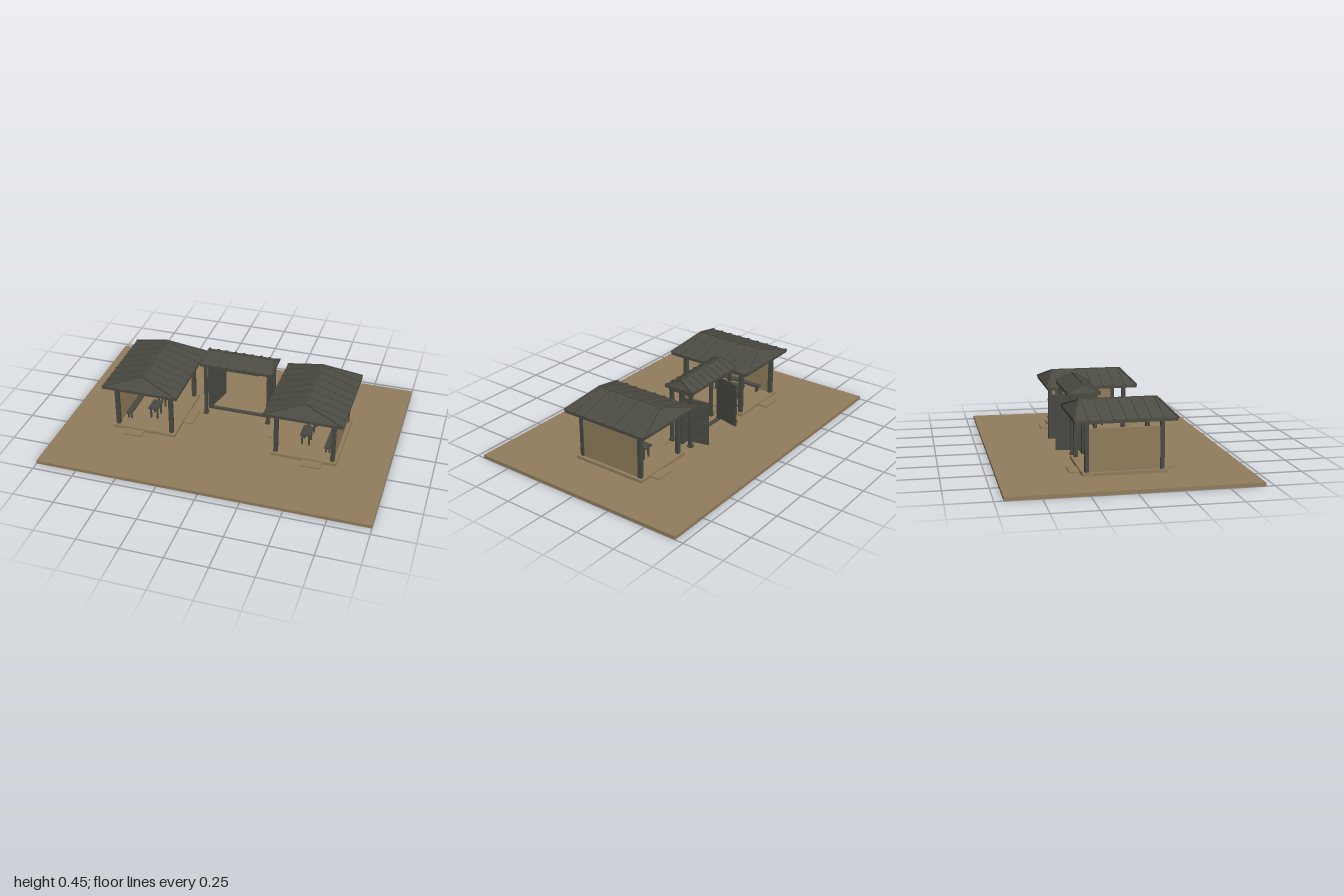
import * as THREE from 'three';

const earth = new THREE.MeshStandardMaterial({ color: 0x927d5c });
earth.name = 'earth tan';
const timber = new THREE.MeshStandardMaterial({ color: 0x494a42 });
timber.name = 'dark timber';
const roofing = new THREE.MeshStandardMaterial({ color: 0x4c4c44, flatShading: true });
roofing.name = 'grey roofing';

// Box given by its minimum and maximum corners
function box(parent, name, mat, x0, x1, y0, y1, z0, z1) {
  const mesh = new THREE.Mesh(new THREE.BoxGeometry(Math.abs(x1 - x0), y1 - y0, Math.abs(z1 - z0)), mat);
  mesh.position.set((x0 + x1) / 2, (y0 + y1) / 2, (z0 + z1) / 2);
  mesh.name = name;
  parent.add(mesh);
  return mesh;
}

// Square bar running between two points
function bar(parent, name, mat, a, b, w, h) {
  const from = new THREE.Vector3(...a), to = new THREE.Vector3(...b);
  const mesh = new THREE.Mesh(new THREE.BoxGeometry(w, h, from.distanceTo(to)), mat);
  mesh.position.copy(from).add(to).multiplyScalar(0.5);
  mesh.lookAt(to);
  mesh.name = name;
  parent.add(mesh);
}

// Hollow roof with short sloping ends and raised ribs; the ridge runs along z
function makeRoof(halfW, halfLen, halfRidge, eaveY, ridgeY, thick, ribStep) {
  const roof = new THREE.Group();
  roof.name = 'roof';
  const top = [
    [-halfW, eaveY, halfLen], [halfW, eaveY, halfLen], [halfW, eaveY, -halfLen], [-halfW, eaveY, -halfLen],
    [0, ridgeY, halfRidge], [0, ridgeY, -halfRidge],
  ];
  const points = [...top, ...top.map(([x, y, z]) => [x, y - thick, z])];
  const upper = [0, 1, 4, 1, 2, 5, 1, 5, 4, 2, 3, 5, 3, 0, 4, 3, 4, 5];
  const index = [...upper];
  for (let i = 0; i < upper.length; i += 3) index.push(upper[i] + 6, upper[i + 2] + 6, upper[i + 1] + 6);
  for (let i = 0; i < 4; i++) {
    const j = (i + 1) % 4;
    index.push(i, i + 6, j, j, i + 6, j + 6);
  }
  let geo = new THREE.BufferGeometry();
  geo.setAttribute('position', new THREE.Float32BufferAttribute(points.flat(), 3));
  geo.setIndex(index);
  geo = geo.toNonIndexed();
  geo.computeVertexNormals();
  const shell = new THREE.Mesh(geo, roofing);
  shell.name = 'roofShell';
  roof.add(shell);

  const count = Math.floor(halfRidge / ribStep + 0.01);
  for (const s of [-1, 1]) {
    for (let i = -count; i <= count; i++) {
      bar(roof, 'roofRib', roofing, [0, ridgeY, i * ribStep], [s * halfW, eaveY, i * ribStep], 0.008, 0.01);
    }
    for (const e of [-1, 1]) {
      bar(roof, 'hipRib', roofing, [0, ridgeY, e * halfRidge], [s * halfW, eaveY, e * halfLen], 0.01, 0.01);
    }
  }
  bar(roof, 'ridgeBar', roofing, [0, ridgeY, -halfRidge], [0, ridgeY, halfRidge], 0.01, 0.01);
  return roof;
}

// Seat or table: a top board on four legs
function makeStand(name, x, z, w, d, topY, leg) {
  const g = new THREE.Group();
  g.name = name;
  box(g, name + 'Top', timber, -w / 2, w / 2, topY - 0.01, topY, -d / 2, d / 2);
  for (const sx of [-1, 1]) for (const sz of [-1, 1]) {
    const lx = sx * (w / 2 - leg), lz = sz * (d / 2 - 0.02);
    box(g, name + 'Leg', timber, lx - leg / 2, lx + leg / 2, 0.038, topY - 0.01, lz - leg / 2, lz + leg / 2);
  }
  g.position.set(x, 0, z);
  return g;
}

// Open pavilion; side is +1 or -1 and points to the outer, walled side
function makePavilion(side) {
  const g = new THREE.Group();
  g.name = side > 0 ? 'leftPavilion' : 'rightPavilion';
  g.position.x = side * 0.5;
  box(g, 'platform', earth, -0.2, 0.2, 0.02, 0.038, -0.24, 0.24);
  for (const e of [-1, 1]) {
    box(g, 'endStep', earth, side * -0.005, side * 0.115, 0.02, 0.029, e * 0.24, e * 0.297);
    for (const s of [-1, 1]) {
      box(g, 'post', timber, s * 0.16, s * 0.184, 0.038, 0.35, e * 0.2, e * 0.224);
    }
    box(g, 'crossBeam', timber, -0.19, 0.19, 0.322, 0.34, e * 0.203, e * 0.221);
    box(g, 'sideBeam', timber, e * 0.163, e * 0.181, 0.322, 0.34, -0.22, 0.22);
  }
  box(g, 'innerStep', earth, side * -0.2, side * -0.257, 0.02, 0.029, -0.08, 0.075);
  box(g, 'outerWall', earth, side * 0.166, side * 0.178, 0.038, 0.28, -0.2, 0.2);
  g.add(makeRoof(0.235, 0.285, 0.22, 0.337, 0.41, 0.018, 0.07));
  g.add(makeStand('bench', side * 0.127, 0, 0.036, 0.32, 0.085, 0.008));
  for (const z of [-0.07, 0.07]) g.add(makeStand('table', side * -0.018, z, 0.062, 0.1, 0.12, 0.01));
  return g;
}

// Door leaf along -z from its hinge, braced on its outer face
function makeDoor(side) {
  const g = new THREE.Group();
  g.name = side > 0 ? 'leftDoor' : 'rightDoor';
  box(g, 'doorPanel', timber, -0.005, 0.005, 0.038, 0.315, -0.165, 0);
  const x = side * 0.008;
  for (const y of [0.068, 0.175, 0.285]) {
    box(g, 'doorRail', timber, side * 0.004, side * 0.012, y - 0.007, y + 0.007, -0.165, 0);
  }
  bar(g, 'upperBrace', timber, [x, 0.182, -0.01], [x, 0.278, -0.155], 0.008, 0.012);
  bar(g, 'lowerBrace', timber, [x, 0.075, -0.01], [x, 0.168, -0.155], 0.008, 0.012);
  g.position.set(side * 0.18, 0, -0.14);
  g.rotation.y = side * 0.22;
  return g;
}

// Roofed gateway with two doors standing open to the back
function makeGate() {
  const g = new THREE.Group();
  g.name = 'gate';
  const mid = -0.142;
  for (const s of [-1, 1]) {
    for (const e of [-1, 1]) {
      const z = mid + e * 0.068;
      box(g, 'gatePost', timber, s * 0.191, s * 0.209, 0.02, 0.385, z - 0.01, z + 0.01);
      box(g, 'postFoot', timber, s * 0.186, s * 0.214, 0.02, 0.032, z - 0.015, z + 0.015);
    }
    box(g, 'doorPost', timber, s * 0.18, s * 0.205, 0.02, 0.42, mid - 0.012, mid + 0.012);
    box(g, 'gateTie', timber, s * 0.192, s * 0.208, 0.355, 0.372, mid - 0.085, mid + 0.085);
    g.add(makeDoor(s));
    box(g, 'eaveBeam', timber, -0.21, 0.21, 0.368, 0.384, mid + s * 0.06, mid + s * 0.076);
  }
  box(g, 'lintel', timber, -0.19, 0.19, 0.335, 0.362, mid - 0.01, mid + 0.01);
  box(g, 'headBoard', timber, -0.125, 0.118, 0.31, 0.335, mid - 0.006, mid + 0.006);
  box(g, 'threshold', timber, -0.185, 0.185, 0.02, 0.03, mid - 0.012, mid + 0.012);
  const roof = makeRoof(0.098, 0.225, 0.2, 0.391, 0.441, 0.016, 0.055);
  roof.rotation.y = Math.PI / 2;
  roof.position.z = mid;
  g.add(roof);
  return g;
}

export function createModel() {
  const model = new THREE.Group();
  model.name = 'gatewayCourt';
  box(model, 'ground', earth, -1, 1, 0, 0.02, -0.7, 0.7);
  for (const side of [-1, 1]) model.add(makePavilion(side));
  model.add(makeGate());
  return model;
}
